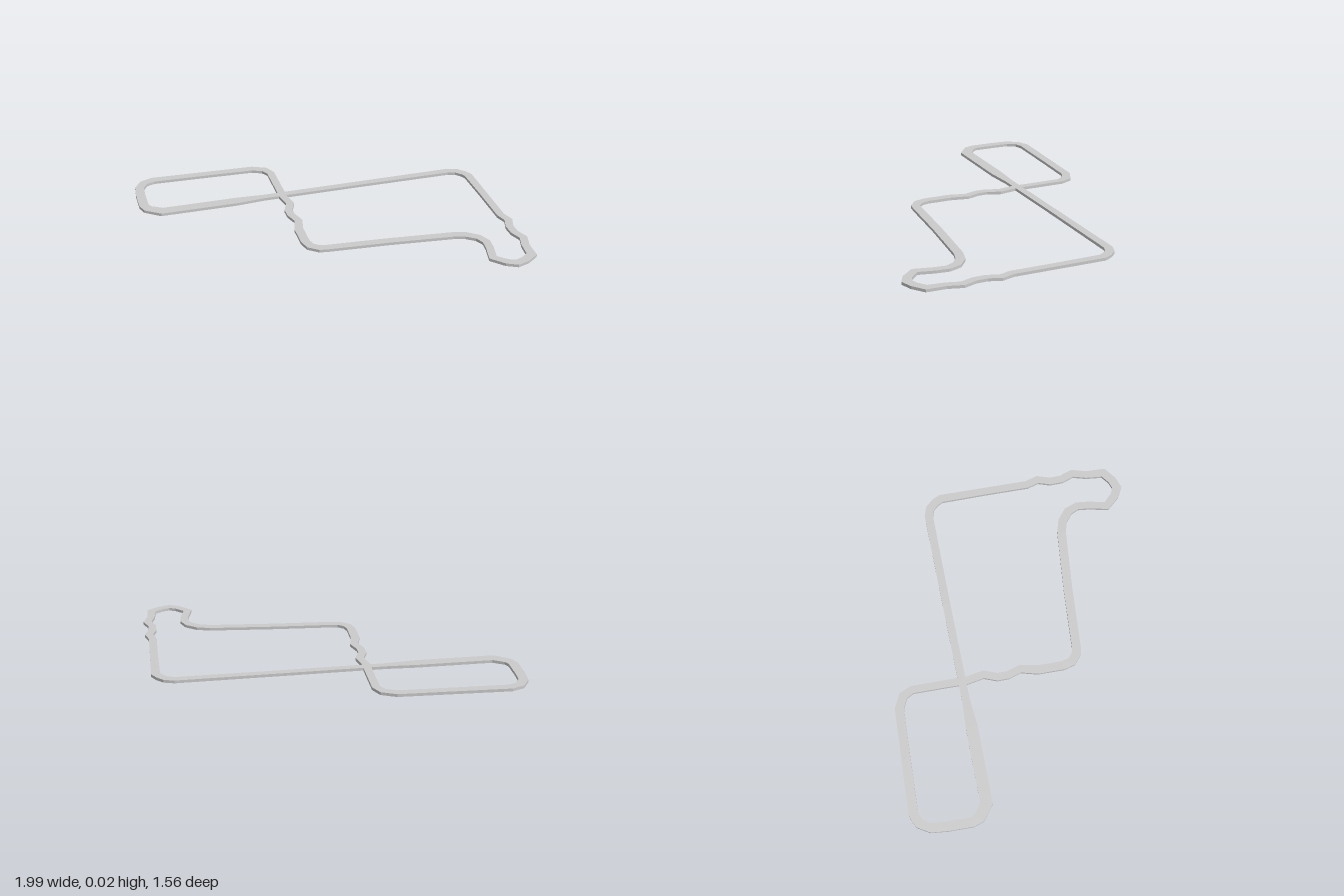
import * as THREE from 'three';

const HEIGHT = 0.016;
const WIDTH = 0.044;

// Centreline of the figure-eight circuit: x, z and, where it differs, the width
const PATH = [
  // far straight and corner of the small loop
  [-0.87, -0.757, 0.053], [-0.56, -0.745, 0.05], [-0.27, -0.733, 0.05], [-0.2, -0.7, 0.048], [-0.174, -0.645],
  // through the crossing, then a gentle wiggle
  [-0.177, -0.45], [-0.18, -0.335], [-0.163, -0.238], [-0.193, -0.163], [-0.193, -0.104],
  [-0.171, -0.03], [-0.195, 0.067, 0.05], [-0.198, 0.211, 0.05],
  // near corner and slanted straight
  [-0.184, 0.265, 0.05], [-0.14, 0.302, 0.05], [-0.1, 0.308, 0.05], [0.243, 0.334, 0.05], [0.607, 0.372, 0.05],
  // S-bend into the hairpin
  [0.676, 0.393, 0.05], [0.73, 0.436, 0.048], [0.754, 0.495], [0.746, 0.564], [0.722, 0.666],
  [0.778, 0.727, 0.048], [0.826, 0.751, 0.05], [0.88, 0.733, 0.05], [0.936, 0.692, 0.05],
  // wiggly side straight
  [0.944, 0.591], [0.968, 0.511], [0.944, 0.441], [0.944, 0.372], [0.968, 0.302], [0.949, 0.233],
  [0.954, -0.024], [0.957, -0.281, 0.048],
  // back corner, long straight over the crossing
  [0.938, -0.318, 0.048], [0.906, -0.353, 0.048], [0.858, -0.369, 0.048], [0.297, -0.366], [-0.291, -0.361],
  [-0.452, -0.358, 0.067], [-0.888, -0.358, 0.067],
  // end of the small loop
  [-0.96, -0.41, 0.06], [-0.976, -0.452, 0.054], [-0.973, -0.586, 0.054], [-0.965, -0.676, 0.05], [-0.928, -0.735, 0.05],
];

// Sweeps a rectangular section round a closed path with mitred joints
function trackGeometry(path, height) {
  const n = path.length;
  const points = path.map(([x, z]) => new THREE.Vector2(x, z));
  const normals = points.map((p, i) => {
    const d = points[(i + 1) % n].clone().sub(p).normalize();
    return new THREE.Vector2(d.y, -d.x);
  });
  const rings = points.map((p, i) => {
    const a = normals[(i + n - 1) % n], b = normals[i];
    const half = (path[i][2] ?? WIDTH) / 2;
    const m = a.clone().add(b).multiplyScalar(half / (1 + a.dot(b)));
    return [
      [p.x + m.x, 0, p.y + m.y], [p.x + m.x, height, p.y + m.y],
      [p.x - m.x, height, p.y - m.y], [p.x - m.x, 0, p.y - m.y],
    ];
  });
  const positions = [];
  rings.forEach((r, i) => {
    const s = rings[(i + 1) % n];
    for (let j = 0; j < 4; j++) {
      const k = (j + 1) % 4;
      positions.push(...r[j], ...r[k], ...s[k], ...r[j], ...s[k], ...s[j]);
    }
  });
  const geometry = new THREE.BufferGeometry();
  geometry.setAttribute('position', new THREE.Float32BufferAttribute(positions, 3));
  geometry.computeVertexNormals();
  return geometry;
}

export function createModel() {
  const group = new THREE.Group();
  group.name = 'raceCircuit';
  const material = new THREE.MeshStandardMaterial({ color: 0xcccccc, flatShading: true });
  const track = new THREE.Mesh(trackGeometry(PATH, HEIGHT), material);
  track.name = 'track';
  group.add(track);
  return group;
}
